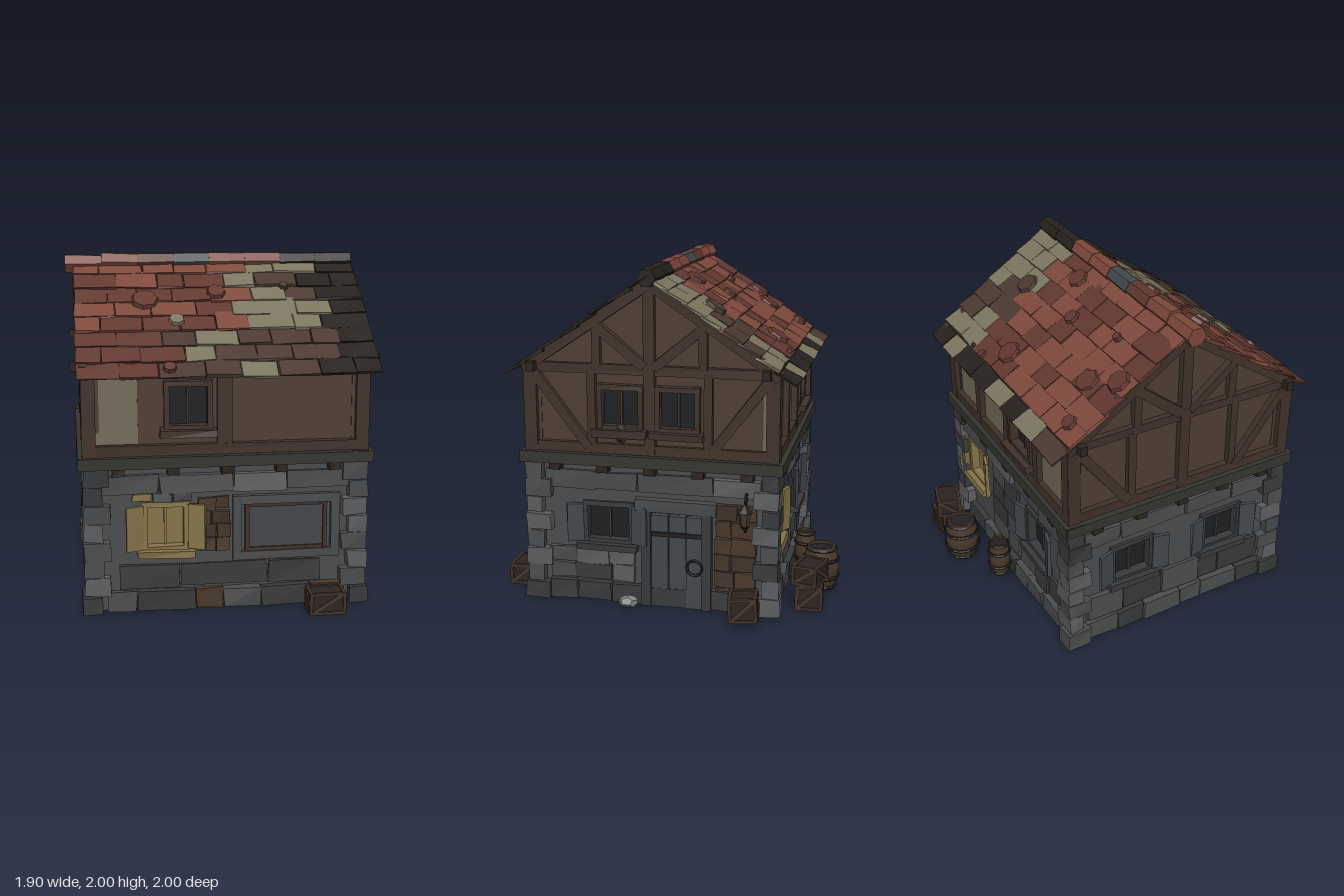
import * as THREE from 'three';

const C = {
  stone: 0x4a4c4e, stoneDark: 0x383a3c, stoneLight: 0x5b5d5f, brown: 0x4a382b, timber: 0x41322a, timberDark: 0x2c2420,
  plaster: 0x4f3d33, beige: 0x746a58, yellow: 0x87754a, dark: 0x1d1f21, slate: 0x43484c, belt: 0x34352f,
  red: 0x7d483c, redDark: 0x61382f, tileBrown: 0x4b3930, tileBeige: 0x7b745f, tileDark: 0x26211d, iron: 0x222020, rock: 0x85868a,
};
let seed = 7;
const rnd = () => (seed = (seed * 16807) % 2147483647) / 2147483647;
const jit = (a) => (rnd() - 0.5) * 2 * a;
const pick = (...list) => list[Math.floor(rnd() * list.length)];
const mats = {};
const mat = (c) => (mats[c] ??= new THREE.MeshStandardMaterial({ color: c, flatShading: true }));

function add(parent, name, geo, color, x = 0, y = 0, z = 0) {
  const m = new THREE.Mesh(geo, mat(color));
  m.name = name;
  m.position.set(x, y, z);
  parent.add(m);
  return m;
}
function group(parent, name, x = 0, y = 0, z = 0) {
  const g = new THREE.Group();
  g.name = name;
  g.position.set(x, y, z);
  parent.add(g);
  return g;
}
// Box whose eight corners are nudged, for hewn stone and worn tiles
function rough(w, h, d, j = 0) {
  const geo = new THREE.BoxGeometry(w, h, d), p = geo.attributes.position;
  const off = Array.from({ length: 8 }, () => [jit(j), jit(j), jit(j)]);
  for (let i = 0; i < p.count; i++) {
    const o = off[(p.getX(i) > 0) + 2 * (p.getY(i) > 0) + 4 * (p.getZ(i) > 0)];
    p.setXYZ(i, p.getX(i) + o[0], p.getY(i) + o[1], p.getZ(i) + o[2]);
  }
  geo.computeVertexNormals();
  return geo;
}
// Block on a side: u along, v up, out = how far its face stands beyond the side's plane
const block = (s, name, u, v, w, h, d, out, color, j = 0) => add(s.g, name, rough(w, h, d, j), color, u, v, s.D + out - d / 2);
function bar(s, name, u1, v1, u2, v2, width, out = 0, color = C.timber, d = 0.05) {
  const m = block(s, name, (u1 + u2) / 2, (v1 + v2) / 2, Math.hypot(u2 - u1, v2 - v1), width, d, out, color, 0.003);
  m.rotation.z = Math.atan2(v2 - v1, u2 - u1);
}
// Wall sheet from an outline with rectangular openings [u0, v0, u1, v1]
function wall(s, name, outline, holes, out, color) {
  const shape = new THREE.Shape(outline.map(([a, b]) => new THREE.Vector2(a, b)));
  for (const [a, b, c, d] of holes) {
    shape.holes.push(new THREE.Path([[a, b], [a, d], [c, d], [c, b]].map(([x, y]) => new THREE.Vector2(x, y))));
  }
  add(s.g, name, new THREE.ExtrudeGeometry(shape, { depth: 0.06, bevelEnabled: false }), color, 0, 0, s.D + out - 0.06);
}
// Rows of uneven stones filling a rectangle
function courses(s, name, u0, u1, v0, v1, rows, cols, out, colors) {
  const h = (v1 - v0) / rows;
  for (let r = 0; r < rows; r++) {
    const cuts = Array.from({ length: cols + 1 }, (_, i) => u0 + ((u1 - u0) * (i + (i && i < cols ? jit(0.25) : 0))) / cols);
    for (let i = 0; i < cols; i++) {
      block(s, name, (cuts[i] + cuts[i + 1]) / 2, v0 + h * (r + 0.5), cuts[i + 1] - cuts[i] - 0.006, h - 0.005, 0.07, out + jit(0.008), pick(...colors), 0.007);
    }
  }
}
// Window around an opening: frame, pane, cross bars, sill and optional shutters
function windowUnit(s, [a, b, c, d], base, frame, pane, shutter) {
  const u = (a + c) / 2, v = (b + d) / 2, w = c - a, h = d - b, t = 0.03;
  for (const e of [-1, 1]) {
    block(s, 'windowJamb', u + e * (w / 2), v, t, h + t, 0.07, base + 0.02, frame, 0.003);
    block(s, 'windowRail', u, v + e * (h / 2), w + t, t, 0.07, base + 0.02, frame, 0.003);
    if (shutter) {
      const m = block(s, 'shutter', u + e * (w / 2 + 0.055), v, 0.1, h, 0.02, base + 0.045, shutter, 0.004);
      m.rotation.y = -e * 0.3;
    }
  }
  block(s, 'windowPane', u, v, w, h, 0.02, base - 0.035, pane);
  block(s, 'windowBar', u, v, 0.014, h, 0.02, base - 0.02, frame);
  block(s, 'windowSill', u, b - 0.025, w + 0.08, 0.04, 0.1, base + 0.06, frame, 0.006);
}
function crate(root, x, y, z, w, h, d, ry, rx = 0) {
  const g = group(root, 'crate', x, y + h / 2, z);
  g.rotation.set(rx, ry, 0);
  add(g, 'crateBody', new THREE.BoxGeometry(w - 0.015, h - 0.015, d - 0.015), C.timberDark);
  const t = 0.018;
  for (const i of [-1, 1]) for (const j of [-1, 1]) {
    add(g, 'crateEdge', new THREE.BoxGeometry(w, t, t), C.timber, 0, (i * (h - t)) / 2, (j * (d - t)) / 2);
    add(g, 'crateEdge', new THREE.BoxGeometry(t, h, t), C.timber, (i * (w - t)) / 2, 0, (j * (d - t)) / 2);
    add(g, 'crateEdge', new THREE.BoxGeometry(t, t, d), C.timber, (i * (w - t)) / 2, (j * (h - t)) / 2, 0);
  }
  for (const e of [-1, 1]) {
    add(g, 'crateBrace', new THREE.BoxGeometry(Math.hypot(w, h) - 0.04, t, 0.008), C.brown, 0, 0, (e * (d - 0.012)) / 2).rotation.z = Math.atan2(h, w);
    add(g, 'crateBrace', new THREE.BoxGeometry(0.008, t, Math.hypot(d, h) - 0.04), C.brown, (e * (w - 0.012)) / 2, 0, 0).rotation.x = Math.atan2(h, d);
  }
}
function barrel(root, x, z, r, h) {
  const g = group(root, 'barrel', x, 0.01, z);
  const pts = [[0, 0], [0.75, 0], [0.93, 0.25], [1, 0.5], [0.93, 0.75], [0.78, 1], [0.66, 1], [0.66, 0.94], [0, 0.94]];
  add(g, 'barrelStaves', new THREE.LatheGeometry(pts.map(([a, b]) => new THREE.Vector2(a * r * 0.95, b * h)), 14), C.brown);
  for (const [k, v] of [[0.8, 0.08], [0.95, 0.3], [0.95, 0.7], [0.8, 0.94]]) {
    add(g, 'barrelHoop', new THREE.CylinderGeometry(r * k, r * k, 0.022, 14), C.iron, 0, v * h).scale.set(1, v > 0.9 ? 0.01 : 1, 1);
    add(g, 'barrelHoopRim', new THREE.TorusGeometry(r * k, 0.008, 4, 14), C.iron, 0, v * h).rotation.x = Math.PI / 2;
  }
}

export function createModel() {
  const root = new THREE.Group();
  root.name = 'timberHouse';
  const CX = -0.075, CZ = 0.065;
  const house = group(root, 'house', CX, 0, CZ);
  const makeSide = (name, angle, D, H) => {
    const g = group(house, name);
    g.rotation.y = angle;
    return { g, D, H };
  };
  const front = makeSide('frontSide', 0, 0.745, 0.81), back = makeSide('backSide', Math.PI, 0.745, 0.81);
  const right = makeSide('doorSide', Math.PI / 2, 0.81, 0.745), left = makeSide('farSide', -Math.PI / 2, 0.81, 0.745);
  const B = -0.05; // ground wall set back from the side plane
  const wins = new Map([
    [front, { low: [[-0.47, 0.36, -0.23, 0.62]], up: [[-0.34, 1.07, -0.1, 1.32]] }],
    [back, { low: [[-0.65, 0.38, -0.42, 0.64], [0.2, 0.36, 0.45, 0.62]], up: [[0.09, 1.06, 0.34, 1.32]] }],
    [right, { low: [[-0.4, 0.37, -0.12, 0.6]], up: [[-0.29, 1.07, -0.05, 1.31], [0.05, 1.07, 0.28, 1.31]] }],
    [left, { low: [[-0.44, 0.36, -0.18, 0.6], [0.19, 0.36, 0.45, 0.6]], up: [] }],
  ]);

  for (const [s, { low, up }] of wins) {
    const H = s.H, gable = s === right || s === left;
    // Stone ground floor
    wall(s, 'stoneWall', [[-H + 0.05, 0], [H - 0.05, 0], [H - 0.05, 0.87], [-H + 0.05, 0.87]], low, B, C.stone);
    courses(s, 'baseStone', -H + 0.12, H - 0.12, 0, 0.12, 1, 6, -0.005, s === front ? [C.stone, C.brown, C.stoneDark] : [C.stone, C.stoneDark]);
    courses(s, 'topStone', -H + 0.1, H - 0.1, 0.69, 0.8, 1, 4, -0.015, [C.stone, C.stone, C.stoneLight]);
    for (let i = -2; i <= 2; i++) block(s, 'joistEnd', i * H * 0.38, 0.83, 0.07, 0.05, 0.1, 0.02, C.timberDark, 0.004);
    // Belt beam
    block(s, 'beltBeam', 0, 0.88, 2 * H + 0.05, 0.065, 0.12, 0.03, C.belt, 0.003);
    // Plaster upper storey with timber frame
    const top = gable ? [[H - 0.03, 1.42], [0, 1.92], [-H + 0.03, 1.42]] : [[H - 0.03, 1.42], [-H + 0.03, 1.42]];
    wall(s, 'plasterWall', [[-H + 0.03, 0.9], [H - 0.03, 0.9], ...top], up, -0.035, s === back ? C.beige : C.plaster);
    for (const e of [-1, 1]) block(s, 'cornerPost', e * (H - 0.035), 1.16, 0.075, 0.5, 0.075, 0, C.timber);
    bar(s, 'sillBeam', -H, 0.945, H, 0.945, 0.06);
    bar(s, 'topBeam', -H, 1.41, H, 1.41, 0.055);
    for (const o of up) windowUnit(s, o, -0.01, C.timber, C.dark);
    if (gable) {
      bar(s, 'centrePost', 0, 0.92, 0, 1.9, 0.065);
      for (const e of [-1, 1]) {
        bar(s, 'rafter', 0, 1.9, e * H, 1.4, 0.06, 0.01);
        bar(s, 'gablePost', e * 0.31, 1.42, e * 0.31, 1.68, 0.05);
        bar(s, 'gableBrace', e * 0.31, 1.66, e * 0.03, 1.43, 0.055, 0.008);
        bar(s, 'wallPost', e * 0.34, 0.93, e * 0.34, 1.4, 0.05);
        bar(s, 'wallBrace', e * 0.69, 1.39, e * 0.36, 0.95, 0.055, 0.006);
      }
    }
  }
  // Corner quoins, alternately long to one side and the other
  for (const ex of [-1, 1]) for (const ez of [-1, 1]) for (let r = 0; r < 8; r++) {
    const w = r % 2 ? 0.15 : 0.11, d = r % 2 ? 0.1 : 0.15, o = r ? 0 : 0.015;
    add(house, 'quoin', rough(w, 0.102, d, 0.007), pick(C.stone, C.stoneDark, C.stoneLight), ex * (0.812 + o - w / 2), 0.052 + r * 0.106, ez * (0.752 + o - d / 2));
  }
  add(house, 'upperFloor', new THREE.BoxGeometry(1.54, 0.04, 1.42), C.timberDark, 0, 0.88, 0);

  // Front: lit window, brown bricks and framed panel
  const [fw] = wins.get(front).low;
  windowUnit(front, fw, B, C.yellow, C.yellow, C.yellow);
  courses(front, 'windowStone', -0.54, -0.2, 0.64, 0.69, 1, 3, B + 0.03, [C.yellow, C.stone]);
  courses(front, 'brick', -0.17, 0.02, 0.34, 0.66, 4, 2, B + 0.025, [C.brown, C.timber]);
  courses(front, 'lowStone', -0.62, 0.55, 0.13, 0.27, 1, 3, B + 0.02, [C.stone, C.stoneDark]);
  const panel = (u, v, w, h, t, out, color) => {
    for (const e of [-1, 1]) {
      block(front, 'panelRail', u, v + e * (h - t) / 2, w, t, 0.05, out, color, 0.002);
      block(front, 'panelStile', u + e * (w - t) / 2, v, t, h, 0.05, out, color, 0.002);
    }
  };
  panel(0.345, 0.47, 0.62, 0.38, 0.05, B + 0.035, C.stone);
  panel(0.345, 0.47, 0.48, 0.29, 0.025, B + 0.025, C.timber);
  block(front, 'panelBoard', 0.345, 0.47, 0.46, 0.27, 0.03, B + 0.012, C.slate);
  bar(front, 'middlePost', -0.015, 0.93, -0.015, 1.4, 0.08);
  block(front, 'palePlaster', -0.4, 1.18, 0.66, 0.42, 0.01, -0.06, C.beige);
  for (const u of [-0.62, -0.21, 0.02]) if (u < -0.5) block(front, 'palePlaster', u, 1.18, 0.24, 0.4, 0.01, -0.03, C.beige, 0.002);

  // Back: posts and shuttered windows
  for (const u of [-0.385, 0.015, 0.395]) bar(back, 'wallPost', u, 0.93, u, 1.4, 0.06);
  wins.get(back).low.forEach((o, i) => windowUnit(back, o, B, i ? C.stoneDark : C.yellow, i ? C.dark : C.yellow, i ? C.slate : C.yellow));
  courses(back, 'wallStone', -0.32, 0.06, 0.14, 0.66, 4, 2, B + 0.02, [C.stone, C.stoneDark]);
  courses(back, 'lowStone', 0.08, 0.66, 0.14, 0.3, 1, 3, B + 0.02, [C.stone, C.stoneDark]);

  // Far side: two shuttered windows
  for (const o of wins.get(left).low) windowUnit(left, o, B, C.stoneDark, C.dark, C.slate);
  courses(left, 'lowStone', -0.62, 0.62, 0.13, 0.3, 1, 5, B + 0.025, [C.stone, C.stoneDark, C.brown]);

  // Door side: window, door with ring, brick pier and wall ornament
  windowUnit(right, wins.get(right).low[0], B, C.stoneDark, C.dark, C.slate);
  courses(right, 'lowStone', -0.62, -0.1, 0.13, 0.33, 2, 3, B + 0.025, [C.stone, C.stoneDark, C.stoneLight]);
  courses(right, 'brickPier', 0.38, 0.62, 0.04, 0.65, 6, 2, B + 0.03, [C.brown, C.timber, C.brown]);
  for (let i = 0; i < 3; i++) block(right, 'doorPlank', 0.055 + i * 0.104, 0.28, 0.1, 0.56, 0.04, B + 0.04 + jit(0.004), C.slate, 0.002);
  for (const u of [-0.025, 0.335]) block(right, 'doorJamb', u, 0.29, 0.055, 0.58, 0.08, 0.005, C.stoneDark, 0.005);
  block(right, 'doorLintel', 0.15, 0.615, 0.48, 0.075, 0.09, 0.01, C.stone, 0.008);
  block(right, 'doorStrap', 0.16, 0.45, 0.3, 0.025, 0.02, B + 0.055, C.iron);
  add(right.g, 'doorRing', new THREE.TorusGeometry(0.045, 0.009, 5, 12), C.iron, 0.265, 0.26, right.D + 0.005);
  add(right.g, 'wallOrnament', new THREE.IcosahedronGeometry(0.05, 0), C.timber, -0.165, 1.04, right.D).scale.set(0.9, 1.2, 0.55);
  block(right, 'palePlaster', -0.17, 1.03, 0.27, 0.06, 0.01, -0.025, C.beige);

  // Lantern on a curved bracket
  const lamp = group(root, 'lantern', 0.795, 0.62, -0.5);
  const arm = new THREE.CatmullRomCurve3([[-0.08, 0.06], [-0.07, 0.1], [-0.04, 0.115], [-0.005, 0.09], [0, 0.06]].map(([x, y]) => new THREE.Vector3(x, y, 0)));
  add(lamp, 'lanternArm', new THREE.TubeGeometry(arm, 12, 0.006, 5), C.iron);
  add(lamp, 'lanternBrace', new THREE.TorusGeometry(0.04, 0.006, 4, 10, Math.PI), C.iron, -0.04, -0.07).rotation.z = Math.PI;
  add(lamp, 'lanternRod', new THREE.BoxGeometry(0.014, 0.2, 0.014), C.iron, -0.045, -0.01);
  add(lamp, 'lanternRoof', new THREE.ConeGeometry(0.05, 0.05, 6), C.iron, 0, 0.045);
  add(lamp, 'lanternGlass', new THREE.CylinderGeometry(0.04, 0.025, 0.09, 6), C.brown, 0, -0.02);
  add(lamp, 'lanternFoot', new THREE.CylinderGeometry(0.03, 0.015, 0.02, 6), C.iron, 0, -0.07);

  // Roof slopes of overlapping worn tiles, with raised patches [x, distance down]
  const a = Math.atan2(0.57, 0.83), rows = 8, len = 1.01 / rows;
  const patches = [
    [[-0.5, 0.38, 0.085], [-0.08, 0.32, 0.06], [-0.33, 0.56, 0.05], [0.33, 0.27, 0.03], [-0.4, 0.95, 0.04]],
    [[-0.76, 0.8, 0.05], [-0.62, 0.57, 0.08], [-0.8, 0.46, 0.075], [0.05, 0.76, 0.08], [0.42, 0.38, 0.075], [-0.12, 0.36, 0.05], [0.1, 0.16, 0.07], [-0.53, 0.28, 0.03], [0.22, 0.88, 0.03]],
  ];
  [1, -1].forEach((dir, k) => {
    const slope = group(root, k ? 'backRoof' : 'frontRoof', 0, 1.945, CZ);
    slope.rotation.set(a, k ? Math.PI : 0, 0, 'YXZ');
    const tint = (x, r) => {
      if (k) return r === rows - 1 ? pick(C.tileDark, C.tileBrown, C.tileBeige) : x > 0.32 ? pick(C.tileBeige, C.tileBeige, C.tileBrown) : pick(C.red, C.red, C.redDark);
      if (x > 0.52) return C.tileDark;
      if (x > 0.02) return r > 5 ? pick(C.tileBrown, C.tileBeige) : pick(C.tileBeige, C.tileBrown, C.tileBeige);
      return r > 4 ? (x > -0.4 ? pick(C.tileBeige, C.tileBrown) : C.redDark) : pick(C.red, C.redDark);
    };
    const x0 = -0.91, x1 = k ? 0.765 : 0.785, n = 8;
    for (let r = 0; r < rows; r++) {
      const cuts = Array.from({ length: n + 1 }, (_, i) => x0 + ((x1 - x0) * (i + (i && i < n ? (r % 2 ? 0.2 : -0.2) + jit(0.15) : 0))) / n);
      for (let i = 0; i < n; i++) {
        const x = (cuts[i] + cuts[i + 1]) / 2;
        const m = add(slope, 'roofTile', rough(cuts[i + 1] - cuts[i] - 0.004, 0.016, len + 0.025, 0.006), tint(x, r), x * dir, jit(0.004), (r + 0.5) * len);
        m.rotation.x = -0.08;
      }
    }
    for (const [x, d, s] of patches[k]) {
      add(slope, 'roofPatch', new THREE.CylinderGeometry(s * 0.85, s, 0.03, 7), x > 0.3 ? C.tileBrown : x === -0.33 ? C.tileBeige : C.redDark, x * dir, 0.015, d).rotation.y = s * 40;
    }
  });
  // Ridge caps and purlins
  for (let i = 0; i < 8; i++) {
    const w = 1.73 / 8, x = -0.95 + w * (i + 0.5);
    const m = add(root, 'ridgeCap', new THREE.CylinderGeometry(0.06, 0.054, w + 0.01, 6), i > 5 ? C.tileDark : i === 3 ? C.slate : pick(C.red, C.redDark), x, 1.935 + jit(0.005), CZ);
    m.rotation.z = Math.PI / 2 + jit(0.02);
  }
  for (const z of [0.75, -0.61]) add(root, 'purlin', new THREE.BoxGeometry(1.74, 0.055, 0.045), C.timberDark, -0.07, 1.42, z);

  // Yard goods
  crate(root, 0.475, 0, 0.925, 0.21, 0.13, 0.15, 0);
  crate(root, 0.855, 0.03, -0.51, 0.165, 0.145, 0.165, 0.08, 0.06);
  crate(root, 0.55, 0.01, -0.85, 0.17, 0.15, 0.16, 0.05);
  crate(root, 0.545, 0.16, -0.85, 0.2, 0.12, 0.155, -0.28);
  barrel(root, 0.24, -0.885, 0.115, 0.27);
  barrel(root, -0.06, -0.755, 0.072, 0.25);
  add(root, 'looseRock', new THREE.DodecahedronGeometry(0.06, 0), C.rock, 0.81, 0.05, 0.18).scale.set(0.95, 0.55, 1);
  return root;
}
